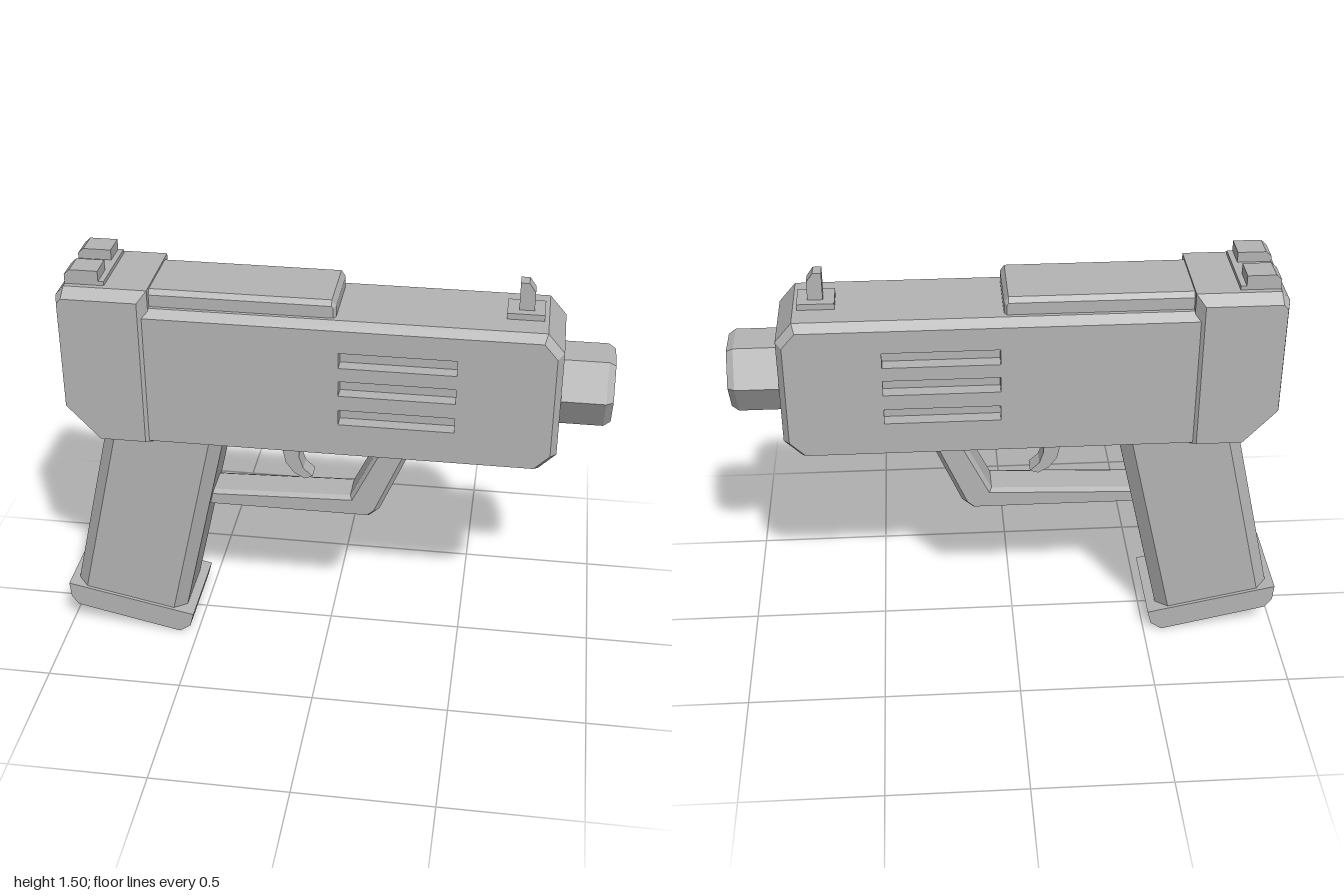
import * as THREE from 'three';

const grey = new THREE.MeshStandardMaterial({ color: 0xb4b4b4 });
grey.name = 'grey';

const rect = (x0, y0, x1, y1) => [[x0, y0], [x1, y0], [x1, y1], [x0, y1]];

// Move each edge of a counter-clockwise outline inwards by its own distance
function insetOutline(pts, d) {
  const n = pts.length;
  const lines = pts.map(([x, y], i) => {
    const [x2, y2] = pts[(i + 1) % n];
    const len = Math.hypot(x2 - x, y2 - y);
    const nx = -(y2 - y) / len, ny = (x2 - x) / len;
    return [nx, ny, nx * x + ny * y + (Array.isArray(d) ? d[i] : d)];
  });
  return lines.map((b, i) => {
    const a = lines[(i + n - 1) % n];
    const det = a[0] * b[1] - a[1] * b[0];
    return [(a[2] * b[1] - a[1] * b[2]) / det, (a[0] * b[2] - a[2] * b[0]) / det];
  });
}

// Side outline given width, chamfered rims and optional recessed pockets on both sides
function block(pts, half, bevel = 0, inset = bevel, pockets = [], depth = 0) {
  const pos = [];
  const tri = (a, b, c) => pos.push(...a, ...b, ...c);
  const band = (low, zl, high, zh, emit) => low.forEach((p, i) => {
    const j = (i + 1) % low.length;
    const a = [...p, zl], b = [...low[j], zl], c = [...high[j], zh], d = [...high[i], zh];
    emit(a, b, c);
    emit(a, c, d);
  });
  const cap = (contour, holes, z, emit) => {
    const v = (list) => list.map(([x, y]) => new THREE.Vector2(x, y));
    const all = [contour, ...holes].flat();
    for (const f of THREE.ShapeUtils.triangulateShape(v(contour), holes.map(v))) {
      emit(...f.map((k) => [...all[k], z]));
    }
  };
  const rim = bevel ? insetOutline(pts, inset) : pts;
  band(pts, bevel - half, pts, half - bevel, tri);
  for (const s of [1, -1]) {
    const flip = ([x, y, z]) => [x, y, z * s];
    const emit = (a, b, c) => (s > 0 ? tri(a, b, c) : tri(flip(a), flip(c), flip(b)));
    if (bevel) band(pts, half - bevel, rim, half, emit);
    const holes = pockets.map((p) => [...p].reverse());
    cap(rim, holes, half, emit);
    for (const h of holes) band(h, half - depth, h, half, emit);
    for (const p of pockets) cap(p, [], half - depth, emit);
  }
  const g = new THREE.BufferGeometry();
  g.setAttribute('position', new THREE.Float32BufferAttribute(pos, 3));
  g.computeVertexNormals();
  return g;
}

export function createModel() {
  const group = new THREE.Group();
  const add = (name, geometry, z = 0) => {
    const mesh = new THREE.Mesh(geometry, grey);
    mesh.name = name;
    mesh.position.z = z;
    group.add(mesh);
  };

  // Main housing with three vent slots on each side
  const slots = [0.985, 1.1, 1.21].map((y) => rect(0.05, y, 0.46, y + 0.058));
  add('body', block(
    [[-0.64, 0.85], [0.76, 0.85], [0.82, 0.91], [0.82, 1.31], [0.76, 1.38], [-0.64, 1.38]],
    0.18, 0.03, [0.012, 0.02, 0.022, 0.025, 0.027, 0], slots, 0.05));

  // Thicker rear block
  add('rearBlock', block(
    [[-0.82, 0.85], [-0.62, 0.85], [-0.62, 1.45], [-0.915, 1.45], [-0.945, 1.415], [-0.945, 0.985]],
    0.193, 0.035, [0.013, 0.03, 0.035, 0.02, 0.01, 0.012]));

  // Raised panel on top
  add('topPanel', block(
    [[-0.63, 1.37], [0.035, 1.37], [0.035, 1.42], [0.02, 1.442], [-0.63, 1.442]],
    0.136, 0.015, [0, 0.01, 0.01, 0.018, 0]));

  // Sights
  add('rearSightBase', block(rect(-0.915, 1.44, -0.775, 1.465), 0.138));
  for (const s of [1, -1]) {
    add(s > 0 ? 'leftRearSight' : 'rightRearSight', block(
      [[-0.915, 1.46], [-0.795, 1.46], [-0.795, 1.503], [-0.895, 1.503], [-0.915, 1.485]], 0.048), s * 0.09);
  }
  add('frontSightBase', block(rect(0.615, 1.37, 0.745, 1.402), 0.058));
  add('frontSightPost', block(
    [[0.655, 1.39], [0.708, 1.39], [0.708, 1.47], [0.685, 1.503], [0.655, 1.503]], 0.026));

  // Six-sided hollow muzzle
  const bore = [[0.145, 0.8], [0.145, 0.975], [0.128, 1], [0.08, 1], [0.08, 0.9], [0, 0.9]];
  const muzzle = new THREE.LatheGeometry(bore.map(([r, x]) => new THREE.Vector2(r, x)), 6)
    .rotateZ(-Math.PI / 2).translate(0, 1.12, 0).toNonIndexed();
  muzzle.computeVertexNormals();
  add('muzzle', muzzle);

  // Slanted grip and its foot
  add('grip', block(
    [[-0.98, 0.15], [-0.555, 0.06], [-0.375, 0.87], [-0.815, 0.87]],
    0.162, 0.045, [0, 0.045, 0, 0.042]));
  add('gripFoot', block(
    [[-0.995, 0.125], [-0.97, 0.088], [-0.57, 0], [-0.528, 0.03], [-0.514, 0.083], [-1, 0.184]], 0.175));

  // Trigger and guard
  add('triggerGuard', block(
    [[-0.5, 0.53], [0.15, 0.53], [0.19, 0.565], [0.32, 0.87], [0.205, 0.87], [0.08, 0.612], [-0.5, 0.592]],
    0.075, 0.02, [0.012, 0.012, 0.018, 0, 0.012, 0.01, 0]));
  add('trigger', block(
    [[-0.17, 0.87], [-0.18, 0.79], [-0.165, 0.72], [-0.135, 0.678], [-0.095, 0.656],
      [-0.065, 0.667], [-0.1, 0.7], [-0.115, 0.745], [-0.115, 0.8], [-0.095, 0.87]], 0.033));

  return group;
}
